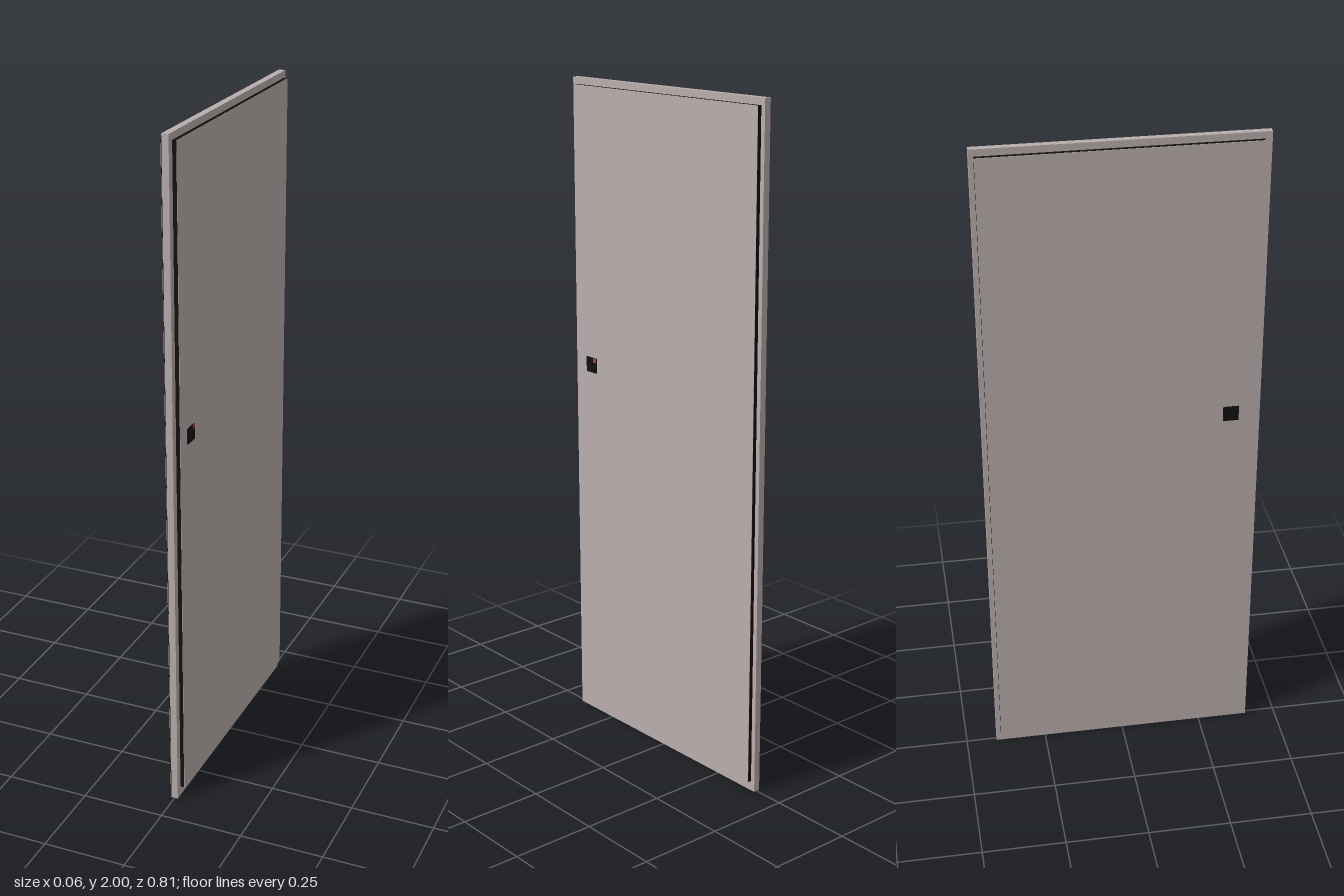
import * as THREE from 'three';

const paint = new THREE.MeshStandardMaterial({ color: 0xb8aeac });
const black = new THREE.MeshStandardMaterial({ color: 0x111111 });
const red = new THREE.MeshStandardMaterial({ color: 0xc03038 });

export function createModel() {
  const door = new THREE.Group();
  door.name = 'door';

  // Box given by its limits on each axis
  function box(name, material, [x0, x1], [y0, y1], [z0, z1]) {
    const mesh = new THREE.Mesh(new THREE.BoxGeometry(x1 - x0, y1 - y0, z1 - z0), material);
    mesh.position.set((x0 + x1) / 2, (y0 + y1) / 2, (z0 + z1) / 2);
    mesh.name = name;
    door.add(mesh);
  }

  // Central slab
  box('slab', paint, [-0.01, 0.01], [0, 2], [-0.406, 0.406]);

  for (const side of [1, -1]) {
    const label = side > 0 ? 'left' : 'right';
    const span = (a, b) => (side > 0 ? [a, b] : [-b, -a]);

    // Raised panel: dark core with a thin painted face
    box(label + 'PanelCore', black, span(0.01, 0.0215), [0.03, 1.98], [-0.392, 0.385]);
    box(label + 'PanelFace', paint, span(0.0215, 0.0225), [0.03, 1.98], [-0.392, 0.385]);

    // Lock plate and its small button
    box(label + 'LockPlate', black, span(0.0225, 0.0255), [1.125, 1.171], [0.294, 0.34]);
    box(label + 'LockButton', black, span(0.0255, 0.0285), [1.141, 1.155], [0.31, 0.324]);
  }

  // Red indicator in the upper corner of one lock plate
  box('lockIndicator', red, [0.0255, 0.026], [1.157, 1.171], [0.294, 0.308]);
  return door;
}
